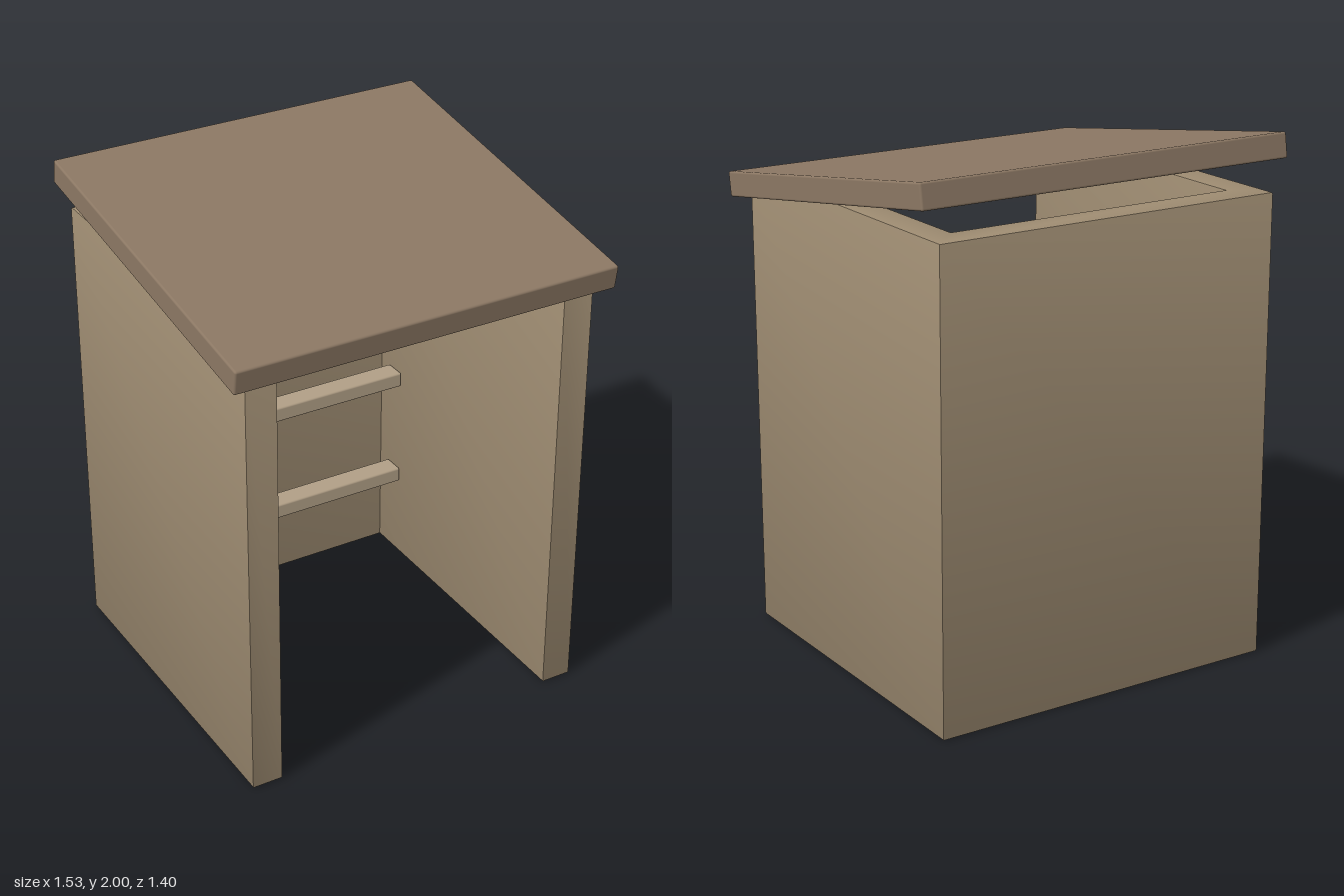
import * as THREE from 'three';
import { RoundedBoxGeometry } from 'three/addons/geometries/RoundedBoxGeometry.js';
import { toCreasedNormals } from 'three/addons/utils/BufferGeometryUtils.js';

const BEVEL = 0.008;

function addPart(group, name, geometry, color, x, y, z) {
  const mesh = new THREE.Mesh(geometry, new THREE.MeshStandardMaterial({ color }));
  mesh.name = name;
  mesh.position.set(x, y, z);
  group.add(mesh);
  return mesh;
}

// U-shaped shell: two side walls and a back wall, open at the front, top and bottom
function wallsGeometry() {
  const height = 1.79, out = 0.7 - BEVEL, inn = 0.58 + BEVEL;
  const front = 0.64 - BEVEL, back = -0.7 + BEVEL, backInner = -0.58 - BEVEL;
  // Plan outline, with shape y standing for -z
  const plan = new THREE.Shape([
    [-out, front], [-inn, front], [-inn, backInner], [inn, backInner],
    [inn, front], [out, front], [out, back], [-out, back],
  ].map(([x, z]) => new THREE.Vector2(x, -z)));
  const geometry = new THREE.ExtrudeGeometry(plan, {
    depth: height - 2 * BEVEL,
    bevelEnabled: true,
    bevelThickness: BEVEL,
    bevelSize: BEVEL,
    bevelSegments: 2,
  });
  geometry.rotateX(-Math.PI / 2).translate(0, BEVEL, 0);
  return toCreasedNormals(geometry, 0.6);
}

export function createModel() {
  const model = new THREE.Group();
  model.name = 'shelter';

  addPart(model, 'walls', wallsGeometry(), 0x9c8a70, 0, 0, 0);

  // Sloping roof slab, higher at the back
  const roof = addPart(model, 'roof',
    new RoundedBoxGeometry(1.53, 0.095, 1.402, 2, BEVEL), 0x8b7763, 0, 1.845, 0);
  roof.rotation.x = 0.155;

  // Perches spanning the side walls, just ahead of the back wall
  const perch = new RoundedBoxGeometry(1.15, 0.062, 0.09, 2, BEVEL);
  [0.385, 0.835, 1.282].forEach((y, i) =>
    addPart(model, `perch${i + 1}`, perch, 0xb09e85, 0, y, -0.465));

  return model;
}
